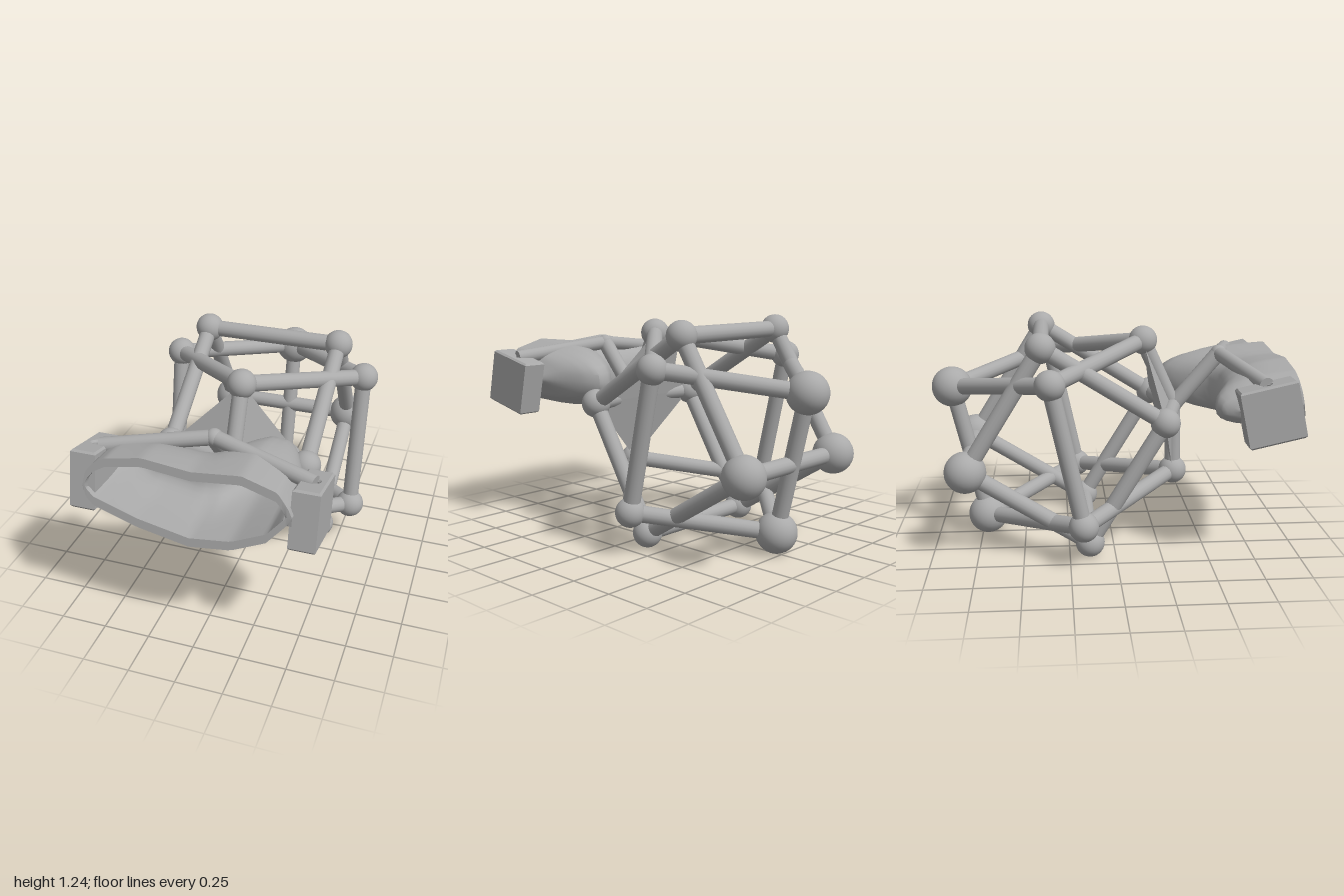
import * as THREE from 'three';
import { toCreasedNormals } from 'three/addons/utils/BufferGeometryUtils.js';

const grey = new THREE.MeshStandardMaterial({ color: 0xaaaaaa, side: THREE.DoubleSide });
grey.name = 'plain grey';

const V = (x, y, z) => new THREE.Vector3(x, y, z);
const mirror = (p) => V(-p.x, p.y, p.z);

function add(parent, name, geometry) {
  const mesh = new THREE.Mesh(geometry, grey);
  mesh.name = name;
  parent.add(mesh);
  return mesh;
}

function ball(parent, p, r) {
  add(parent, 'joint', new THREE.SphereGeometry(r, 24, 16)).position.copy(p);
}

function bar(parent, name, a, b, r = 0.045) {
  const d = b.clone().sub(a);
  const mesh = add(parent, name, new THREE.CylinderGeometry(r, r, d.length(), 16));
  mesh.position.copy(a).addScaledVector(d, 0.5);
  mesh.quaternion.setFromUnitVectors(V(0, 1, 0), d.normalize());
}

// smooth reading of a short profile of [x, value] points
function profile(points) {
  return (x) => {
    let i = 0;
    while (i < points.length - 2 && x > points[i + 1][0]) i++;
    const [x0, y0] = points[i], [x1, y1] = points[i + 1];
    const t = THREE.MathUtils.clamp((x - x0) / (x1 - x0), 0, 1);
    return y0 + (y1 - y0) * t;
  };
}

// hollow shell: lofted from U-shaped sections across x
function shellGeometry() {
  const top = profile([[-0.555, 0.88], [-0.54, 0.95], [-0.5, 1.0], [-0.44, 1.035], [-0.25, 1.07],
    [0, 1.045], [0.245, 1.07], [0.42, 1.02], [0.475, 0.95], [0.495, 0.91]]);
  const bottom = profile([[-0.555, 0.88], [-0.54, 0.82], [-0.5, 0.78], [-0.27, 0.71], [0, 0.66],
    [0.21, 0.685], [0.38, 0.76], [0.475, 0.87], [0.495, 0.91]]);
  const back = profile([[-0.555, 0.64], [-0.53, 0.54], [-0.48, 0.51], [-0.42, 0.52], [-0.3, 0.57],
    [-0.05, 0.59], [0.05, 0.56], [0.1, 0.47], [0.17, 0.37], [0.24, 0.31], [0.32, 0.305],
    [0.37, 0.37], [0.43, 0.52], [0.495, 0.68]]);
  const stations = 56, half = 16, positions = [], index = [];
  const loop = half * 2 + 2;
  for (let s = 0; s <= stations; s++) {
    const x = -0.03 - 0.525 * Math.cos((s / stations) * Math.PI);
    const h = (top(x) - bottom(x)) / 2, yc = (top(x) + bottom(x)) / 2;
    for (let k = 0; k < loop; k++) {
      const inner = k > half;
      const j = inner ? loop - 1 - k : k;
      const phi = Math.PI / 2 - (j / half) * Math.PI;
      const hh = inner ? Math.max(h - 0.045, 0) : h;
      const c = Math.max(Math.cos(phi), 0), sn = Math.sin(phi);
      const open = inner ? THREE.MathUtils.smoothstep(h, 0.045, 0.1) : 1;
      const y0 = yc + Math.sign(sn) * Math.pow(Math.abs(sn), 0.75) * hh;
      const front = 0.925 + (1.07 - y0) * 0.17;
      const depth = Math.max(front - back(x) - (inner ? 0.06 : 0), 0) * open;
      const w = Math.pow(c, 0.75);
      // the closed end sinks a little towards the back
      positions.push(x, y0 + (0.83 - yc) * w * 0.6, front - depth * w);
    }
  }
  for (let s = 0; s < stations; s++) {
    for (let k = 0; k < loop; k++) {
      const a = s * loop + k, b = s * loop + ((k + 1) % loop);
      index.push(a, b, a + loop, b, b + loop, a + loop);
    }
  }
  const g = new THREE.BufferGeometry();
  g.setAttribute('position', new THREE.Float32BufferAttribute(positions, 3));
  g.setIndex(index);
  return toCreasedNormals(g, 0.8);
}

// square block with a hole running from top to bottom
function blockGeometry() {
  const w = 0.0575, d = 0.14;
  const s = new THREE.Shape([[-w, -d], [w, -d], [w, d], [-w, d]].map((p) => new THREE.Vector2(...p)));
  const hole = new THREE.Path();
  hole.absarc(0, 0, 0.034, 0, Math.PI * 2, true);
  s.holes.push(hole);
  const g = new THREE.ExtrudeGeometry(s, {
    depth: 0.285, bevelEnabled: true, bevelSize: 0.01, bevelThickness: 0.01, bevelSegments: 1, curveSegments: 10,
  });
  g.translate(0, 0, -0.1425);
  g.rotateX(-Math.PI / 2);
  return g;
}

export function createModel() {
  const model = new THREE.Group();
  model.name = 'model';

  // joints on the centre line
  const A = V(0, 1.13, 0.18), G = V(0, 0.365, 0.36), D = V(0, 0.88, -0.89), J = V(0, 0.12, -0.715);
  const K = V(0, 0.75, 0.355);
  // joints mirrored on both sides
  const B = V(0.387, 1.16, -0.39), C = V(0.553, 1.0, -0.345), E = V(0.385, 0.75, 0.265);
  const F = V(0.387, 0.5, -0.8), H = V(0.553, 0.24, -0.18), I = V(0.387, 0.085, -0.14);

  // frame of two interlocking cages
  const frame = new THREE.Group();
  frame.name = 'frame';
  model.add(frame);
  for (const p of [A, G]) ball(frame, p, 0.08);
  for (const p of [D, J]) ball(frame, p, 0.112);
  for (const m of [(p) => p, mirror]) {
    for (const p of [B, C, E, H, I]) ball(frame, m(p), 0.08);
    ball(frame, m(F), 0.112);
    for (const [a, b] of [[B, E], [E, I], [I, F], [F, B], [A, C], [C, D], [G, H], [H, J], [C, H], [E, K]]) {
      bar(frame, 'frameBar', m(a), m(b));
    }
  }
  for (const p of [B, I, F]) bar(frame, 'crossBar', p, mirror(p));
  for (const [a, b] of [[D, J], [A, K], [K, G]]) bar(frame, 'uprightBar', a, b);

  // diamond web between the front joints
  const web = new THREE.BufferGeometry();
  const L = mirror(E);
  web.setFromPoints([A, K, E, K, G, E, A, L, K, K, L, G, A, E, L, E, G, L]);
  web.computeVertexNormals();
  add(model, 'frontWeb', web);

  // forked stem
  const apex = V(0, 1.05, 0.61);
  bar(model, 'stem', K, apex);
  ball(model, K, 0.046);
  ball(model, apex, 0.046);
  for (const s of [-1, 1]) bar(model, 'forkArm', apex, V(s * 0.55, 0.985, 0.755), 0.04);

  // tilted blocks at the arm ends
  for (const x of [-0.572, 0.545]) {
    const block = add(model, 'endBlock', blockGeometry());
    block.position.set(x, 0.845, 0.78);
    block.rotation.x = -0.22;
  }

  add(model, 'hollowShell', shellGeometry());
  return model;
}
